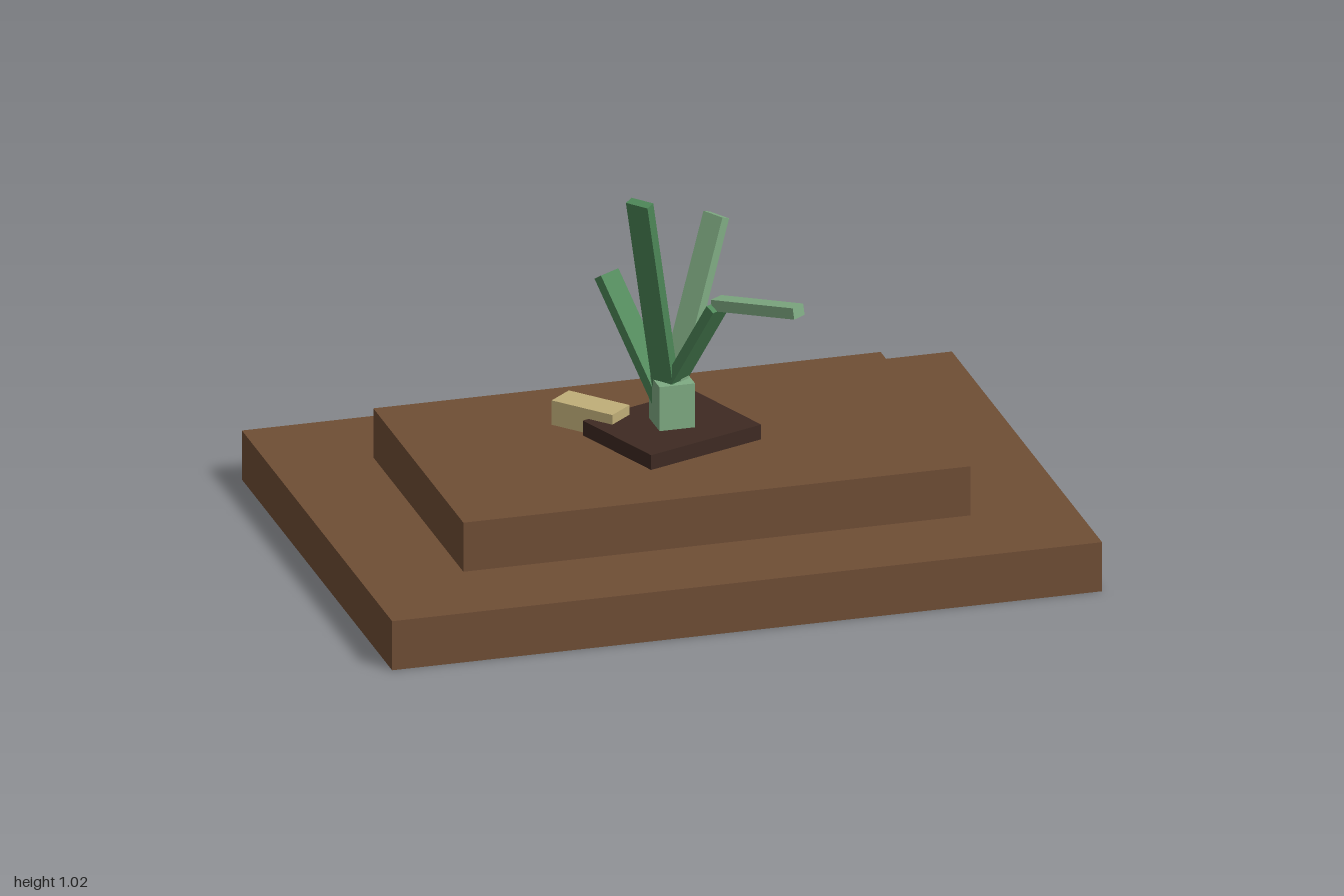
import * as THREE from 'three';

const material = (name, color) => {
  const m = new THREE.MeshStandardMaterial({ color });
  m.name = name;
  return m;
};

export function createModel() {
  const group = new THREE.Group();
  const earth = material('earthBrown', 0x6f4e35);
  const soil = material('darkSoil', 0x3e2a22);
  const sand = material('sandStone', 0xc0ae78);
  const paleGreen = material('paleGreen', 0x7fab83);
  const green = material('leafGreen', 0x4d8758);

  const add = (name, size, mat) => {
    const mesh = new THREE.Mesh(new THREE.BoxGeometry(...size), mat);
    mesh.name = name;
    group.add(mesh);
    return mesh;
  };

  // Upright block standing on y, turned about the vertical
  const block = (name, [w, h, d], [x, y, z], turn, mat) => {
    const mesh = add(name, [w, h, d], mat);
    mesh.position.set(x, y + h / 2, z);
    mesh.rotation.y = turn;
  };

  // Flat bar between two points, its wide side level and square to the lean
  const blade = (name, from, to, width, thickness, mat) => {
    const a = new THREE.Vector3(...from);
    const b = new THREE.Vector3(...to);
    const along = b.clone().sub(a);
    const mesh = add(name, [width, along.length(), thickness], mat);
    along.normalize();
    const side = new THREE.Vector3(along.z, 0, -along.x).normalize();
    const face = side.clone().cross(along);
    mesh.quaternion.setFromRotationMatrix(new THREE.Matrix4().makeBasis(side, along, face));
    mesh.position.copy(a).add(b).multiplyScalar(0.5);
  };

  // Stepped ground
  block('lowerStep', [2, 0.143, 1.429], [0, 0, 0], 0, earth);
  block('upperStep', [1.429, 0.143, 0.857], [0, 0.143, 0], 0, earth);

  // Soil patch and stone
  block('soilPatch', [0.37, 0.043, 0.31], [0, 0.286, 0], 0.35, soil);
  block('stone', [0.195, 0.071, 0.086], [-0.19, 0.286, -0.133], -0.86, sand);

  // Plant
  block('stem', [0.1, 0.171, 0.1], [0, 0.286, 0], 0, paleGreen);
  blade('tallLeaf', [-0.015, 0.42, 0], [-0.115, 1.013, 0.08], 0.071, 0.028, green);
  blade('leftLeaf', [0, 0.42, -0.005], [0.152, 0.882, -0.092], 0.071, 0.028, paleGreen);
  blade('backLeaf', [-0.015, 0.39, -0.03], [-0.124, 0.698, -0.205], 0.071, 0.028, green);
  blade('frontLeaf', [-0.005, 0.42, -0.01], [0.09, 0.712, 0.138], 0.071, 0.028, green);
  blade('frontLeafTip', [0.088, 0.717, 0.128], [0.25, 0.764, 0.361], 0.045, 0.032, paleGreen);

  return group;
}
